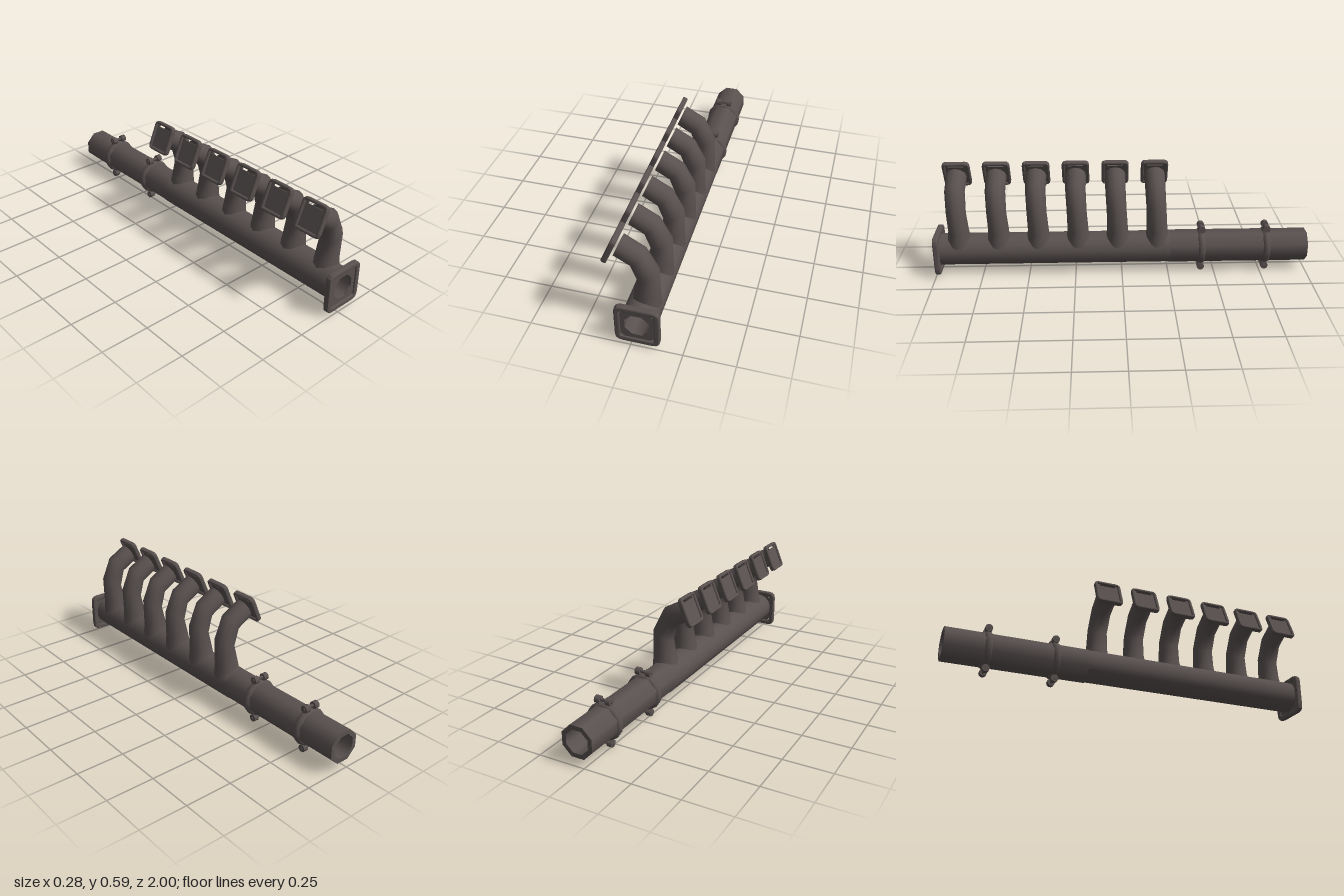
import * as THREE from 'three';

const CX = 0.032, CY = 0.13;
const metal = new THREE.MeshStandardMaterial({ color: 0x595150, side: THREE.DoubleSide });
metal.name = 'dark iron';

function part(name, geometry, parent) {
  const m = new THREE.Mesh(geometry, metal);
  m.name = name;
  parent.add(m);
  return m;
}

// Rounded rectangle outline, usable as a shape or a hole
function outline(Type, hw, hh, r) {
  const s = new Type();
  s.moveTo(-hw + r, -hh);
  s.lineTo(hw - r, -hh);
  s.quadraticCurveTo(hw, -hh, hw, -hh + r);
  s.lineTo(hw, hh - r);
  s.quadraticCurveTo(hw, hh, hw - r, hh);
  s.lineTo(-hw + r, hh);
  s.quadraticCurveTo(-hw, hh, -hw, hh - r);
  s.lineTo(-hw, -hh + r);
  s.quadraticCurveTo(-hw, -hh, -hw + r, -hh);
  return s;
}

// Regular polygon hole
function polygon(x, y, r, n) {
  const pts = [];
  for (let i = 0; i < n; i++) {
    const a = ((i + 0.5) / n) * Math.PI * 2;
    pts.push(new THREE.Vector2(x + r * Math.cos(a), y + r * Math.sin(a)));
  }
  return new THREE.Path(pts);
}

// Raised, bevelled border of a flange, centred on its thickness
function rimGeometry(hw, hh, width, depth, corner) {
  const b = 0.007;
  const s = outline(THREE.Shape, hw - b, hh - b, corner);
  s.holes.push(outline(THREE.Path, hw - width + b, hh - width + b, corner * 0.5));
  const g = new THREE.ExtrudeGeometry(s, {
    depth: depth - 2 * b, bevelEnabled: true, bevelSize: b, bevelThickness: b, bevelSegments: 2, curveSegments: 3,
  });
  return g.translate(0, 0, -(depth - 2 * b) / 2);
}

function plateGeometry(hw, hh, depth, holes) {
  const s = outline(THREE.Shape, hw, hh, 0.02);
  s.holes.push(...holes);
  const g = new THREE.ExtrudeGeometry(s, { depth, bevelEnabled: false, curveSegments: 3 });
  return g.translate(0, 0, -depth / 2);
}

// Open pipe section along z
function pipe(name, r0, r1, z0, z1, sides, parent) {
  const g = new THREE.CylinderGeometry(r0, r1, z0 - z1, sides, 1, true, Math.PI / sides);
  g.rotateX(Math.PI / 2);
  part(name, g, parent).position.set(CX, CY, (z0 + z1) / 2);
}

// Bent runner swept from edge pairs: [leftX, leftY, rightX, rightY, half width, z shift]
function runnerGeometry() {
  const rings = [
    [-0.028, 0.16, 0.115, 0.16, 0.07, -0.01],
    [-0.014, 0.24, 0.112, 0.24, 0.056, -0.01],
    [0.005, 0.325, 0.111, 0.38, 0.053, -0.005],
    [-0.02, 0.41, 0.051, 0.5, 0.054, 0],
    [-0.095, 0.455, -0.052, 0.557, 0.056, 0],
  ];
  const n = 12, pos = [], idx = [];
  rings.forEach(([lx, ly, rx, ry, w, dz], i) => {
    for (let j = 0; j < n; j++) {
      const a = (j / n) * Math.PI * 2, c = Math.cos(a) / 2;
      pos.push((lx + rx) / 2 + (rx - lx) * c, (ly + ry) / 2 + (ry - ly) * c, dz + w * Math.sin(a));
      if (i < rings.length - 1) {
        const p = i * n + j, q = i * n + ((j + 1) % n);
        idx.push(p, p + n, q, q, p + n, q + n);
      }
    }
  });
  const g = new THREE.BufferGeometry();
  g.setAttribute('position', new THREE.Float32BufferAttribute(pos, 3));
  g.setIndex(idx);
  g.computeVertexNormals();
  return g;
}

export function createModel() {
  const model = new THREE.Group();
  model.name = 'exhaustManifold';

  // Collector log, tail pipe and bore
  pipe('collectorPipe', 0.086, 0.086, 0.975, -0.24, 16, model);
  pipe('collectorTaper', 0.086, 0.084, -0.24, -0.26, 16, model);
  pipe('tailPipe', 0.088, 0.088, -0.25, -1, 8, model);
  pipe('bore', 0.064, 0.064, 0.985, -1, 8, model);
  const lip = new THREE.RingGeometry(0.064, 0.088, 8, 1, Math.PI / 8);
  lip.rotateY(Math.PI);
  part('tailPipeLip', lip, model).position.set(CX, CY, -1);

  // Square outlet flange with four bolt holes
  const outlet = new THREE.Group();
  outlet.name = 'outletFlange';
  outlet.position.set(CX, 0.127, 0.985);
  model.add(outlet);
  part('outletRim', rimGeometry(0.109, 0.109, 0.028, 0.03, 0.03), outlet);
  const bolts = [];
  for (const x of [-0.077, 0.077]) for (const y of [-0.08, 0.08]) bolts.push(polygon(x, y, 0.011, 6));
  part('outletPlate', plateGeometry(0.1, 0.1, 0.014, [polygon(0, 0.002, 0.064, 8), ...bolts]), outlet);

  // Six runners, each ending in a tilted port flange
  const runner = runnerGeometry();
  const rim = rimGeometry(0.073, 0.079, 0.017, 0.027, 0.018);
  const slot = new THREE.Path([[-0.042, 0.05], [0.042, 0.05], [0.042, 0.063], [-0.042, 0.063]]
    .map(([x, y]) => new THREE.Vector2(x, y)));
  const portPlate = plateGeometry(0.065, 0.071, 0.008, [slot]);
  const up = new THREE.Vector3(0.39, 0.92, 0).normalize();
  const out = new THREE.Vector3(-up.y, up.x, 0);
  const tilt = new THREE.Matrix4().makeBasis(new THREE.Vector3(0, 0, 1), up, out);
  for (let i = 0; i < 6; i++) {
    const z = 0.88 - i * 0.212;
    part('runner', runner, model).position.z = z;
    const flange = new THREE.Group();
    flange.name = 'portFlange';
    flange.quaternion.setFromRotationMatrix(tilt);
    flange.position.set(-0.099, 0.512, z);
    model.add(flange);
    part('portRim', rim, flange);
    part('portPlate', portPlate, flange);
  }

  // Band clamps with bolted ears above and below
  const band = new THREE.LatheGeometry([[0.082, -0.018], [0.094, -0.015], [0.098, 0], [0.094, 0.015], [0.082, 0.018]]
    .map(([r, h]) => new THREE.Vector2(r, h)), 16);
  band.rotateX(Math.PI / 2);
  const ear = new THREE.CylinderGeometry(0.02, 0.02, 0.026, 10).rotateZ(Math.PI / 2);
  const bolt = new THREE.CylinderGeometry(0.008, 0.008, 0.095, 6).rotateZ(Math.PI / 2);
  for (const z of [-0.43, -0.78]) {
    const clamp = new THREE.Group();
    clamp.name = 'bandClamp';
    clamp.position.set(CX, CY, z);
    model.add(clamp);
    part('band', band, clamp);
    for (const s of [-1, 1]) {
      for (const x of [-0.03, 0.03]) part('clampEar', ear, clamp).position.set(x, s * 0.109, 0);
      part('clampBolt', bolt, clamp).position.set(0, s * 0.111, 0);
    }
  }
  return model;
}
